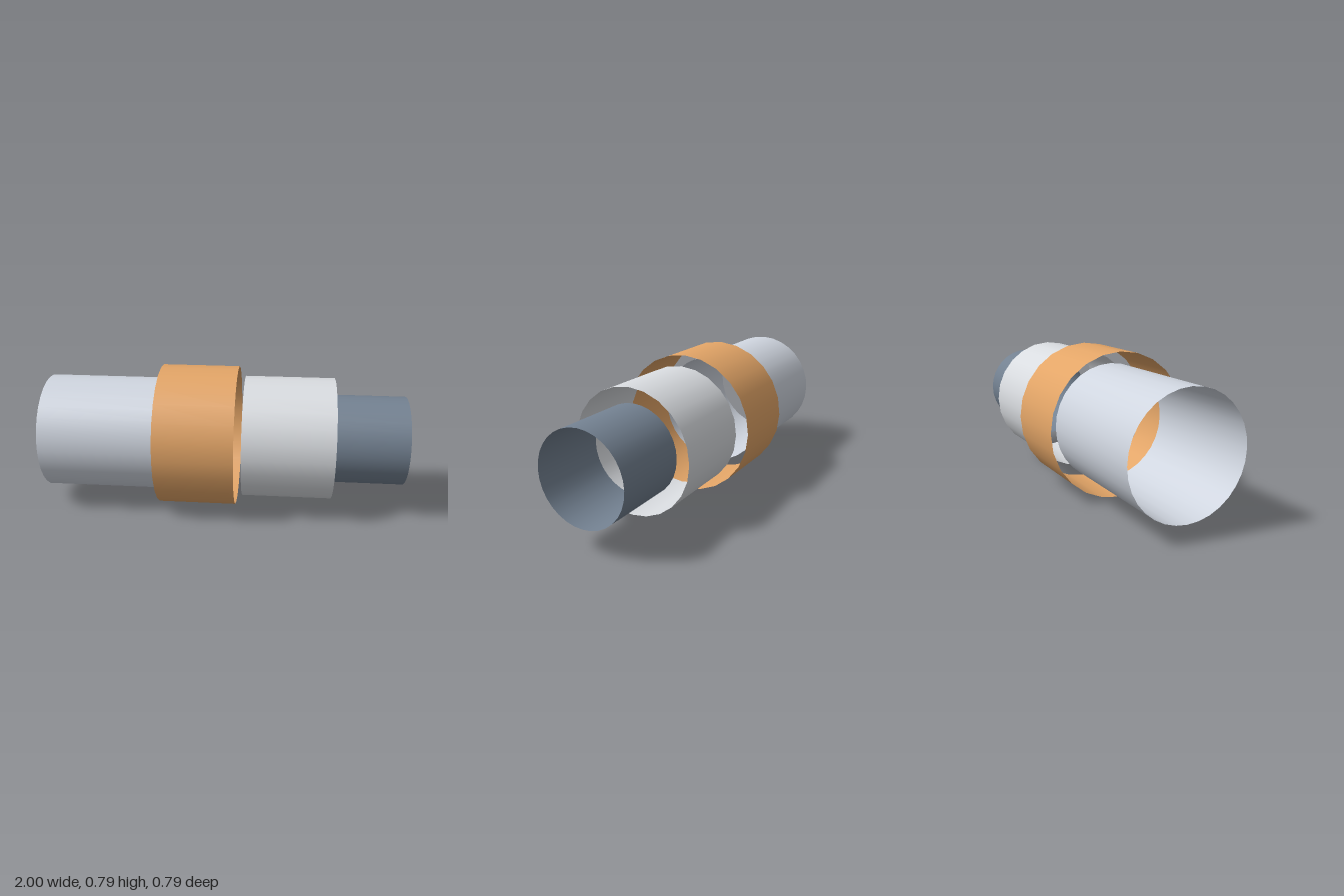
import * as THREE from 'three';

const AXIS_HEIGHT = 0.393;

// Thin open tube lying along x, from x0 to x1
function tube(name, x0, x1, radius, sides, color) {
  const geometry = new THREE.CylinderGeometry(radius, radius, x1 - x0, sides, 1, true);
  geometry.rotateZ(Math.PI / 2);
  const material = new THREE.MeshStandardMaterial({ color, side: THREE.DoubleSide });
  const mesh = new THREE.Mesh(geometry, material);
  mesh.name = name;
  mesh.position.set((x0 + x1) / 2, AXIS_HEIGHT, 0);
  return mesh;
}

export function createModel() {
  const model = new THREE.Group();
  model.name = 'pipeCoupling';
  model.add(
    // Main pipe, its end reaching a little way into the collar
    tube('mainPipe', -1, -0.25, 0.318, 32, 0xcfd5df),
    // Wide collar around the joint
    tube('collar', -0.36, 0.07, 0.393, 24, 0xe3a567),
    // Sleeve, separated from the collar by a gap
    tube('sleeve', 0.107, 0.604, 0.34, 24, 0xd9dce0),
    // Narrow outlet pipe, starting just inside the sleeve
    tube('outletPipe', 0.565, 1, 0.247, 32, 0x738191)
  );
  return model;
}
